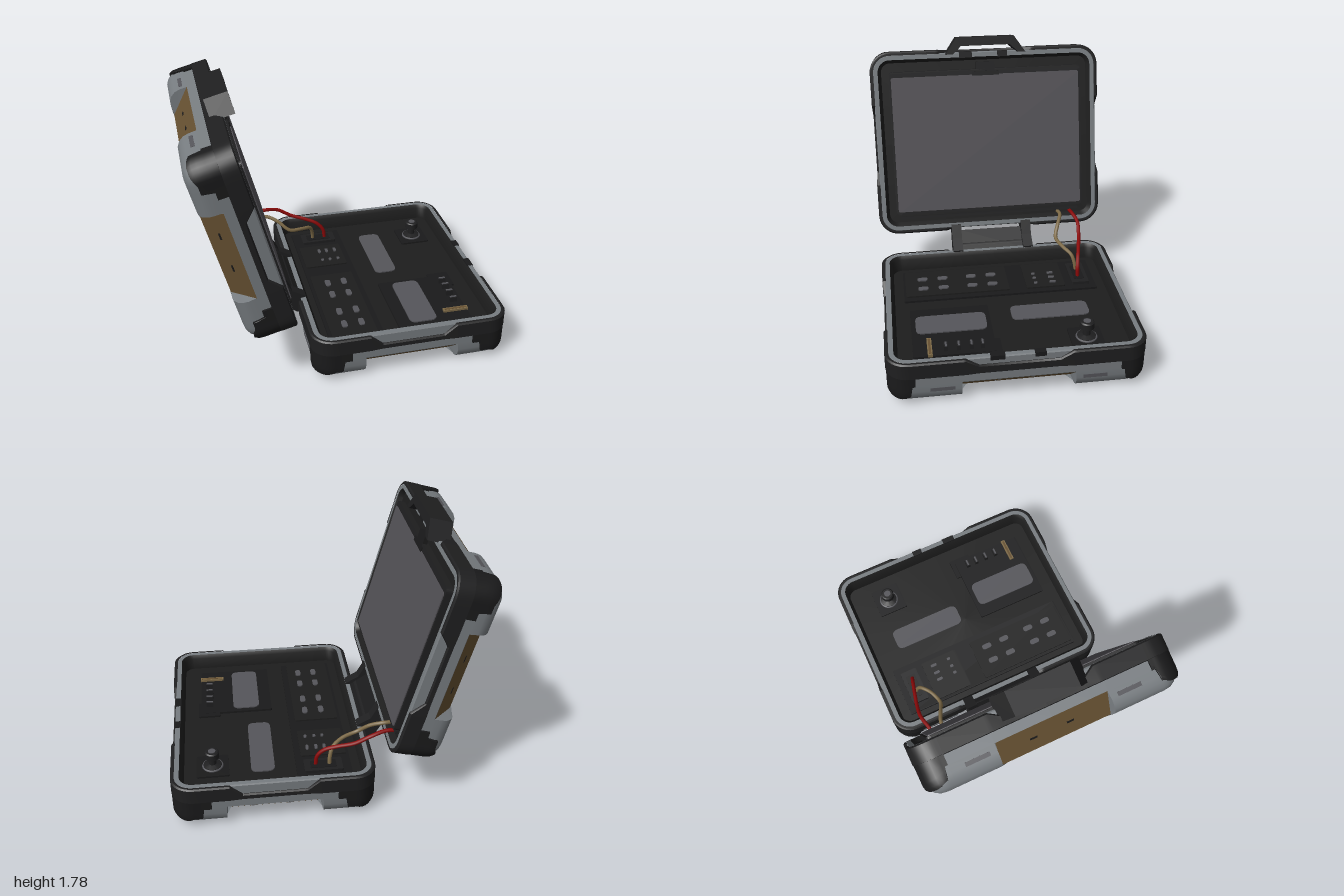
import * as THREE from 'three';
import { toCreasedNormals } from 'three/addons/utils/BufferGeometryUtils.js';

const mat = (name, color) => {
  const m = new THREE.MeshStandardMaterial({ color });
  m.name = name;
  return m;
};
const M = {
  shell: mat('shell grey', 0x777c80), rubber: mat('rubber', 0x1f1f20), guard: mat('guard black', 0x1a1a1b),
  liner: mat('liner', 0x1d1d1d), screen: mat('screen grey', 0x535156), brown: mat('grip brown', 0x675132),
  red: mat('red wire', 0x8a0808), tan: mat('tan wire', 0x7d6a47), window: mat('window grey', 0x55555a),
};
M.liner.side = M.brown.side = THREE.DoubleSide;

const HX = 0.63, HZ = 0.787, R = 0.12, TOP = 0.31, SLOPE = 0.14, LEAN = 1.1;

function add(parent, name, geo, material, x = 0, y = 0, z = 0) {
  const m = new THREE.Mesh(geo, material);
  m.name = name;
  m.position.set(x, y, z);
  parent.add(m);
  return m;
}
const box = (p, name, m, w, h, d, x, y, z) => add(p, name, new THREE.BoxGeometry(w, h, d), m, x, y, z);
const outline = pts => new THREE.Shape(pts.map(p => new THREE.Vector2(p[0], p[1])));

// Flat rounded plate lying in the xz plane, its underside at y
function plate(p, name, m, w, d, r, h, x, y, z) {
  const s = new THREE.Shape(), a = w / 2, b = d / 2;
  s.moveTo(-a + r, -b).lineTo(a - r, -b).quadraticCurveTo(a, -b, a, -b + r).lineTo(a, b - r)
    .quadraticCurveTo(a, b, a - r, b).lineTo(-a + r, b).quadraticCurveTo(-a, b, -a, b - r)
    .lineTo(-a, -b + r).quadraticCurveTo(-a, -b, -a + r, -b);
  const g = new THREE.ExtrudeGeometry(s, { depth: h, bevelEnabled: false, curveSegments: 5 });
  return add(p, name, g.rotateX(-Math.PI / 2), m, x, y, z);
}

// Perimeter samples of the rounded rectangle: arc centre, normal and local rules
function perimeter() {
  const out = [];
  for (let k = 0; k < 4; k++) {
    const a = k * Math.PI / 2, odd = k % 2;
    const L = (odd ? HX : HZ) - R, D = (odd ? HZ : HX) - R, b = odd ? 0.303 : 0.347;
    const ear = L - (odd ? 0.11 : 0.035), foot = L - (odd ? 0.05 : 0.004);
    const half = [L, foot, foot - 0.012, ear, b + 0.005, b, b - 0.02, b - 0.1];
    const at = (q, t) => [Math.cos(a) * D - Math.sin(a) * q, Math.sin(a) * D + Math.cos(a) * q, Math.cos(a + t), Math.sin(a + t)];
    for (const q of [...half.map(v => -v), 0, ...half.reverse()]) {
      const [x, z, nx, nz] = at(q, 0), e = Math.abs(q);
      out.push({ x, z, nx, nz, side: k, cut: e <= b + 1e-6, dip: e <= b - 0.09 ? (odd ? 0.07 : 0.05) : 0,
        near: e > foot - 1e-6 ? 4 : 5, corner: e >= ear - 1e-6 ? (q > 0 ? k : (k + 3) % 4) : -1 });
    }
    for (let i = 1; i < 8; i++) {
      const [x, z, nx, nz] = at(L, i * Math.PI / 16);
      out.push({ x, z, nx, nz, side: -1, cut: false, dip: 0, corner: k, near: Math.abs(i - 4) });
    }
  }
  return out;
}
const RING = perimeter();

// Outer surface: rounded lower edge, sloped cut in the middle of every side
function inset(s, y) {
  if (s.cut && y < SLOPE) return (SLOPE - y) * LEAN;
  const r = 0.09;
  return y < r ? r - Math.sqrt(r * r - (r - y) * (r - y)) : 0;
}

// Skin over samples; rows(s) gives [inset, y] pairs, a null inset meets the centre
function loft(samples, rows, closed = true) {
  const pos = [], idx = [], n = rows(samples[0]).length, c = samples.length;
  for (const s of samples) for (const [i, y] of rows(s)) {
    const k = R - i;
    if (i === null) pos.push(0, y, 0);
    else pos.push(s.x + s.nx * k, y, s.z + s.nz * k);
  }
  for (let i = 0; i < (closed ? c : c - 1); i++) for (let j = 0; j < n - 1; j++) {
    const a = i * n + j, d = ((i + 1) % c) * n + j;
    idx.push(a, a + 1, d + 1, a, d + 1, d);
  }
  const g = new THREE.BufferGeometry();
  g.setAttribute('position', new THREE.Float32BufferAttribute(pos, 3));
  g.setIndex(idx);
  return toCreasedNormals(g, 0.6);
}

// Two small slits in the sloped grip pad of side k
function gripSlits(parent, k) {
  const g = new THREE.Group();
  g.name = 'gripSlits';
  g.rotation.y = -k * Math.PI / 2;
  const x = (k % 2 ? HZ : HX) - SLOPE / 2 * LEAN + 0.004;
  for (const z of [-0.1, 0.13])
    box(g, 'gripSlit', M.guard, 0.004, 0.014, 0.045, x, SLOPE / 2, z).rotation.z = -Math.atan(LEAN);
  parent.add(g);
}

// One half of the case, open side up; hinge is the side number without a grip
function caseHalf(name, hinge, floorY) {
  const g = new THREE.Group();
  g.name = name;
  const ys = [0, 0.006, 0.025, 0.055, 0.09, SLOPE, TOP - 0.008];
  add(g, 'shell', loft(RING, s => [[null, 0], ...ys.map(y => [inset(s, y), y]), [0.006, TOP], [0.035, TOP]]), M.shell);
  add(g, 'liner', loft(RING, () => [[0.035, TOP], [0.052, TOP - 0.025], [0.058, floorY], [null, floorY]]), M.liner);
  add(g, 'rubberBand', loft(RING, s => {
    const t = TOP - s.dip, o = s.dip ? -0.014 : -0.02;
    return [[0, 0.2], [o, 0.205], [o, t - 0.008], [o + 0.01, t], [0.004, t]];
  }), M.rubber);
  for (let k = 0; k < 4; k++) {
    // Corner guard with a narrow foot and short ears
    let part = RING.filter(s => s.corner === k);
    if (k === 3) part = [...part.filter(s => s.side !== 0), ...part.filter(s => s.side === 0)];
    const ends = [{ ...part[0], end: true }, ...part, { ...part[part.length - 1], end: true }];
    add(g, 'cornerGuard', loft(ends, s => {
      const o = s.end ? 0 : s.near < 4 ? 0.018 : 0.014;
      const low = [0.04, 0.04, 0.045, 0.055, 0.065, 0.14][s.near];
      const h = [0, 0.15, 0.35, 0.6, 1].map(f => low + (0.21 - low) * f);
      return [[inset(s, low), low], ...h.map(y => [inset(s, y) - o, y]), [0, 0.21]];
    }, false), M.guard);
    // Sloped grip pad
    if (k !== hinge) {
      add(g, 'gripPad', loft(RING.filter(s => s.side === k && s.cut),
        s => [0, SLOPE].map(y => [inset(s, y) - 0.004, y]), false), M.brown);
      gripSlits(g, k);
    }
  }
  plate(g, 'outerPanel', M.guard, 0.78, 0.78, 0.02, 0.006, 0, -0.004, 0);
  // Slim slots beside the end grips
  for (const s of [-1, 1]) for (const t of [-1, 1])
    box(g, 'sideSlot', M.window, 0.004, 0.025, 0.15, s * HX, 0.1, t * 0.47);
  // Latch catches let into the rim opposite the hinge
  const f = hinge === 2 ? 1 : -1;
  for (const [z, d] of [[-0.125, 0.07], [0.135, 0.09]]) box(g, 'latchCatch', M.guard, 0.04, 0.03, d, f * (HX - 0.019), TOP - 0.012, z);
  return g;
}

function lid() {
  const g = caseHalf('lid', 0, 0.275);
  plate(g, 'screenFrame', M.rubber, 1.02, 1.36, 0.03, 0.045, 0, 0.275, 0);
  plate(g, 'screen', M.screen, 0.96, 1.33, 0.015, 0.006, 0.008, 0.32, 0);
  box(g, 'screenClip', M.guard, 0.07, 0.03, 0.13, -0.525, 0.305, 0);
  box(g, 'screenClipTongue', M.guard, 0.03, 0.01, 0.19, -0.48, 0.323, 0);
  box(g, 'lowerRib', M.rubber, 0.02, 0.02, 1.3, 0.54, 0.28, 0);
  // Carrying handle
  const s = outline([[0.28, 0.62], [0.2, 0.735], [-0.2, 0.735], [-0.28, 0.62], [-0.23, 0.62], [-0.17, 0.675],
    [0.17, 0.675], [0.23, 0.62]]);
  const bar = new THREE.ExtrudeGeometry(s, { depth: 0.15, bevelEnabled: false });
  const handle = add(g, 'handle', bar, M.rubber, 0, 0.23, 0);
  handle.rotation.set(-Math.PI / 2, 0, Math.PI / 2);
  g.rotation.z = -Math.PI * 75 / 180;
  g.position.set(-0.85, 0.965, 0);
  return g;
}

function base() {
  const g = caseHalf('base', 2, 0.2);
  const d = new THREE.Group(), F = 0.2;
  d.name = 'controlDeck';
  d.position.x = -0.345;
  g.add(d);
  plate(d, 'leftPanel', M.guard, 0.36, 1.33, 0.01, 0.015, 0.01, F, 0);
  plate(d, 'smallLampPanel', M.liner, 0.3, 0.27, 0.01, 0.01, 0, F + 0.015, -0.315);
  plate(d, 'lampPanel', M.liner, 0.3, 0.71, 0.01, 0.01, 0, F + 0.015, 0.295);
  plate(d, 'socketRim', M.rubber, 0.25, 0.12, 0.01, 0.02, 0.015, F + 0.015, -0.56);
  plate(d, 'socket', M.guard, 0.17, 0.07, 0.005, 0.004, 0.015, F + 0.035, -0.56);
  for (const x of [-0.045, 0.07]) for (const z of [0.05, 0.19, 0.39, 0.53])
    plate(d, 'lamp', M.window, 0.038, 0.07, 0.018, 0.008, x, F + 0.025, z);
  for (const x of [-0.015, 0.04, 0.1]) for (const z of [-0.37, -0.25])
    plate(d, 'smallLamp', M.window, 0.02, z < -0.3 ? 0.045 : 0.025, 0.009, 0.008, x, F + 0.025, z);
  plate(d, 'upperWindow', M.window, 0.155, 0.52, 0.045, 0.008, 0.405, F, -0.29);
  plate(d, 'meterPanel', M.guard, 0.5, 0.52, 0.01, 0.015, 0.55, F, 0.375);
  plate(d, 'meterTab', M.guard, 0.15, 0.16, 0.01, 0.013, 0.745, F, 0.16);
  plate(d, 'lowerWindow', M.window, 0.185, 0.46, 0.045, 0.008, 0.48, F + 0.015, 0.375);
  for (const z of [0.2, 0.27, 0.35, 0.43]) {
    box(d, 'terminal', M.rubber, 0.05, 0.04, 0.025, 0.74, F + 0.03, z);
    box(d, 'terminalTip', M.window, 0.045, 0.005, 0.012, 0.74, F + 0.052, z);
  }
  box(d, 'terminalBar', M.tan, 0.17, 0.02, 0.03, 0.72, F + 0.02, 0.53);
  box(d, 'terminalBarCore', M.brown, 0.15, 0.008, 0.014, 0.72, F + 0.028, 0.53);
  // Control knob
  plate(d, 'knobPlate', M.guard, 0.21, 0.21, 0.01, 0.012, 0.73, F, -0.465);
  const knob = [[0.06, 0.21], [0.06, 0.225], [0.025, 0.235], [0.025, 0.28], [0.046, 0.285], [0.046, 0.325],
    [0.038, 0.332], [0, 0.332]].map(p => new THREE.Vector2(p[0], p[1]));
  add(d, 'knob', toCreasedNormals(new THREE.LatheGeometry(knob, 20), 0.6), M.rubber, 0.73, 0, -0.465);
  add(d, 'knobBase', new THREE.TorusGeometry(0.062, 0.008, 6, 24).rotateX(Math.PI / 2), M.window, 0.73, 0.215, -0.465);
  add(d, 'knobCap', new THREE.CylinderGeometry(0.024, 0.024, 0.004, 16), M.window, 0.73, 0.333, -0.465);
  g.position.x = 0.345;
  return g;
}

function hinge() {
  const g = new THREE.Group();
  g.name = 'hinge';
  const s = outline([[-0.5, 0.4], [-0.45, 0.37], [-0.38, 0.25], [-0.31, 0.2], [-0.26, 0.24], [-0.25, 0.32],
    [-0.34, 0.37], [-0.39, 0.46], [-0.43, 0.45]]);
  for (const z of [-0.255, 0.255])
    add(g, 'hingeArm', new THREE.ExtrudeGeometry(s, { depth: 0.07, bevelEnabled: false }), M.rubber, 0, 0, z - 0.035);
  box(g, 'hingePlate', M.guard, 0.17, 0.06, 0.44, -0.36, 0.325, 0).rotation.z = -0.6;
  add(g, 'hingePin', new THREE.CylinderGeometry(0.028, 0.028, 0.46, 14).rotateX(Math.PI / 2), M.rubber, -0.33, 0.31, 0);
  return g;
}

function wire(parent, name, m, pts) {
  const curve = new THREE.CatmullRomCurve3(pts.map(p => new THREE.Vector3(...p)));
  add(parent, name, new THREE.TubeGeometry(curve, 48, 0.013, 8), m);
}

export function createModel() {
  const g = new THREE.Group();
  g.name = 'openCase';
  g.add(base(), lid(), hinge());
  // Loose wires from lid to socket
  wire(g, 'redWire', M.red, [[-0.46, 0.49, -0.59], [-0.38, 0.5, -0.6], [-0.28, 0.48, -0.62], [-0.18, 0.425, -0.61],
    [-0.07, 0.39, -0.585], [0.01, 0.355, -0.565], [0.055, 0.3, -0.555], [0.065, 0.23, -0.555]]);
  wire(g, 'tanWire', M.tan, [[-0.46, 0.49, -0.5], [-0.38, 0.495, -0.51], [-0.3, 0.46, -0.48], [-0.22, 0.395, -0.45],
    [-0.12, 0.375, -0.48], [-0.05, 0.345, -0.53], [-0.03, 0.29, -0.55], [-0.025, 0.23, -0.56]]);
  return g;
}
